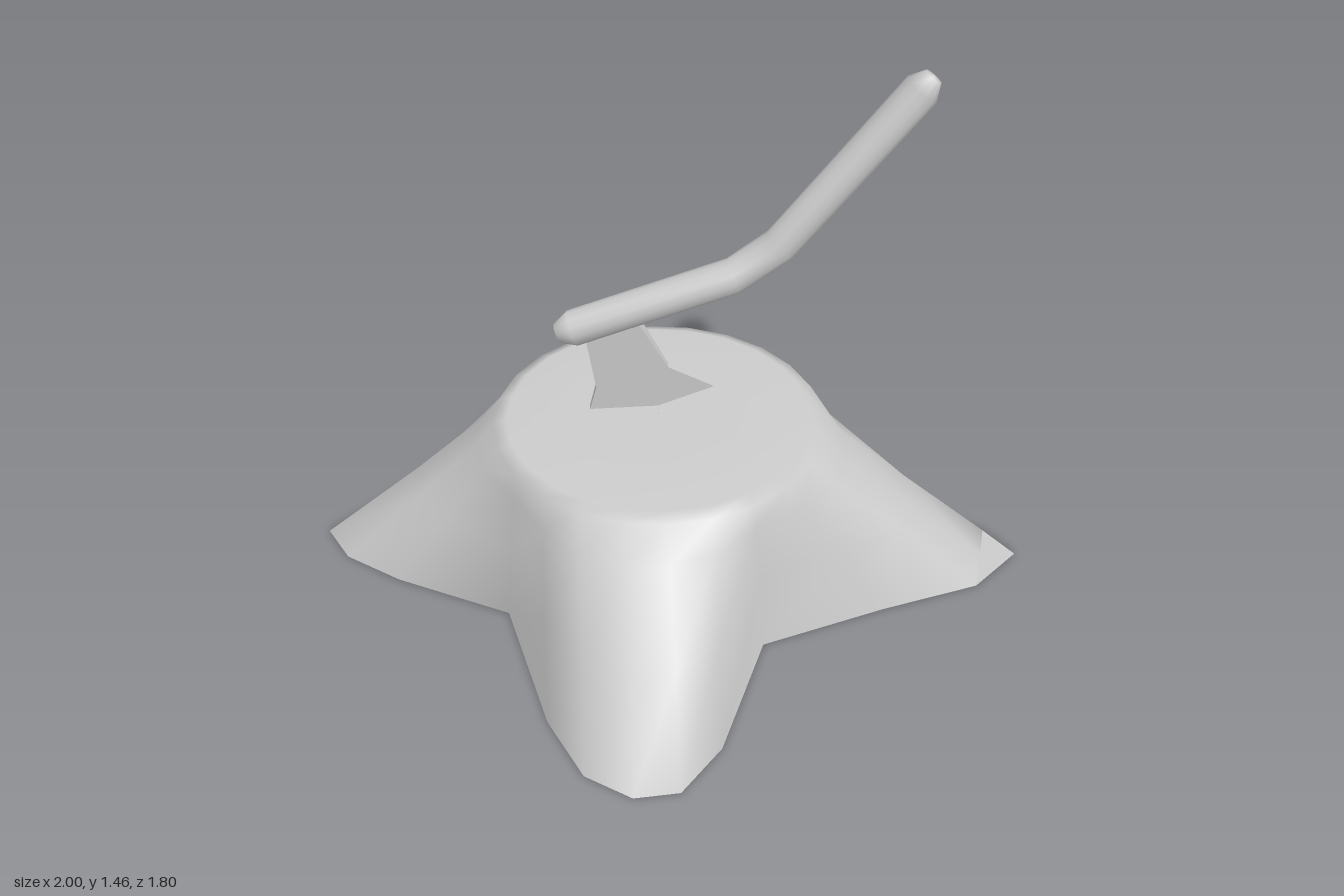
import * as THREE from 'three';

const material = new THREE.MeshStandardMaterial({ color: 0xcccccc, side: THREE.DoubleSide });

function addMesh(parent, name, geometry) {
  const mesh = new THREE.Mesh(geometry, material);
  mesh.name = name;
  parent.add(mesh);
}

// Skin a list of equal-length closed rings of Vector3
function loft(rings) {
  const n = rings[0].length;
  const index = [];
  for (let r = 0; r < rings.length - 1; r++) {
    for (let i = 0; i < n; i++) {
      const j = (i + 1) % n;
      const a = r * n + i, b = r * n + j, c = a + n, d = b + n;
      index.push(a, c, b, b, c, d);
    }
  }
  const geometry = new THREE.BufferGeometry().setFromPoints(rings.flat());
  geometry.setIndex(index);
  geometry.computeVertexNormals();
  return geometry;
}

// Ground outline (x, z): four roots of six points, each starting at a valley
const outline = [
  [0.41, -0.31], [0.70, -0.18], [0.93, -0.06], [1.0, 0.05], [0.86, 0.18], [0.58, 0.26],
  [0.23, 0.38], [0.085, 0.75], [-0.03, 0.89], [-0.15, 0.90], [-0.27, 0.82], [-0.36, 0.63],
  [-0.465, 0.21], [-0.78, 0.05], [-0.935, -0.06], [-1.0, -0.18], [-0.865, -0.30], [-0.65, -0.39],
  [-0.295, -0.48], [-0.13, -0.67], [0, -0.86], [0.11, -0.905], [0.23, -0.80], [0.31, -0.55],
];
// Two roots end in a flat lip, so their walls stop short of the tip
const wallFoot = outline.map((p) => p.slice());
wallFoot[3] = [0.90, 0.05];
wallFoot[21] = [0.115, -0.83];

// Ring blending from the round cut (t = 0) to the root outline (t = 1)
function stumpRing(y, t, scale = 1) {
  return wallFoot.map(([x, z], i) => {
    const a = THREE.MathUtils.degToRad(-30 + i * 15);
    const cx = -0.03 + Math.cos(a) * 0.46 * scale;
    const cz = -0.065 + Math.sin(a) * 0.465 * scale;
    const k = t + 0.6 * t * (1 - t) * z;
    return new THREE.Vector3(cx + (x - cx) * k, y, cz + (z - cz) * k);
  });
}

function makeStump() {
  const stump = new THREE.Group();
  stump.name = 'stump';
  addMesh(stump, 'trunkAndRoots', loft([
    stumpRing(0, 1),
    stumpRing(0.22, 0.5),
    stumpRing(0.385, 0.12),
    stumpRing(0.455, 0),
    stumpRing(0.468, 0, 0.92),
    stumpRing(0.47, 0, 0.5),
    stumpRing(0.47, 0, 0.001),
  ]));
  // Flat lips at the tips of two roots
  for (const i of [3, 21]) {
    const corners = [wallFoot[i], outline[i - 1], outline[i], outline[i + 1]];
    const lip = new THREE.BufferGeometry().setFromPoints(
      corners.map(([x, z]) => new THREE.Vector3(x, 0, z)));
    lip.setIndex([0, 2, 1, 0, 3, 2]);
    lip.computeVertexNormals();
    addMesh(stump, 'rootLip', lip);
  }
  return stump;
}

function makeAxe() {
  const axe = new THREE.Group();
  axe.name = 'axe';

  // Bent handle: x, y, z, radius along the centre line
  const path = [
    [-0.302, 0.722, -0.105, 0.001], [-0.302, 0.722, -0.105, 0.028],
    [-0.26, 0.737, -0.105, 0.05], [0.176, 0.885, -0.108, 0.05],
    [0.30, 0.976, -0.111, 0.05], [0.645, 1.412, -0.12, 0.05],
    [0.672, 1.446, -0.12, 0.026], [0.672, 1.446, -0.12, 0.001],
  ];
  const sides = 12;
  const rings = path.map(([x, y, z, r], i) => {
    const p = path[Math.max(i - 1, 0)], q = path[Math.min(i + 1, path.length - 1)];
    const len = Math.hypot(q[0] - p[0], q[1] - p[1]) || 1;
    const tx = (q[0] - p[0]) / len || 0, ty = (q[1] - p[1]) / len || 0;
    return Array.from({ length: sides }, (_, s) => {
      const a = (s / sides) * Math.PI * 2;
      const u = Math.cos(a) * r;
      return new THREE.Vector3(x - ty * u, y + tx * u, z - Math.sin(a) * r);
    });
  });
  // The end caps share a plane with their neighbours, so orient them alike
  rings[0] = rings[1].map(() => new THREE.Vector3(-0.304, 0.721, -0.105));
  rings[7] = rings[6].map(() => new THREE.Vector3(0.674, 1.449, -0.12));
  const handle = loft(rings);
  addMesh(axe, 'handle', handle);

  // Wedge blade: extruded profile thinned toward the cutting edge
  const profile = new THREE.Shape([
    [-0.225, 0.71], [-0.20, 0.545], [-0.24, 0.39], [-0.06, 0.458],
    [0.128, 0.53], [0, 0.605], [-0.085, 0.765],
  ].map(([x, y]) => new THREE.Vector2(x, y)));
  const blade = new THREE.ExtrudeGeometry(profile, { depth: 1, bevelEnabled: false });
  const pos = blade.attributes.position;
  for (let i = 0; i < pos.count; i++) {
    const height = pos.getY(i) - 0.33 * pos.getX(i) - 0.47;
    const half = 0.003 + 0.07 * Math.max(height, 0);
    pos.setZ(i, -0.105 + (pos.getZ(i) * 2 - 1) * half);
  }
  blade.computeVertexNormals();
  addMesh(axe, 'blade', blade);
  return axe;
}

export function createModel() {
  const model = new THREE.Group();
  model.name = 'axeInStump';
  model.add(makeStump(), makeAxe());
  return model;
}
